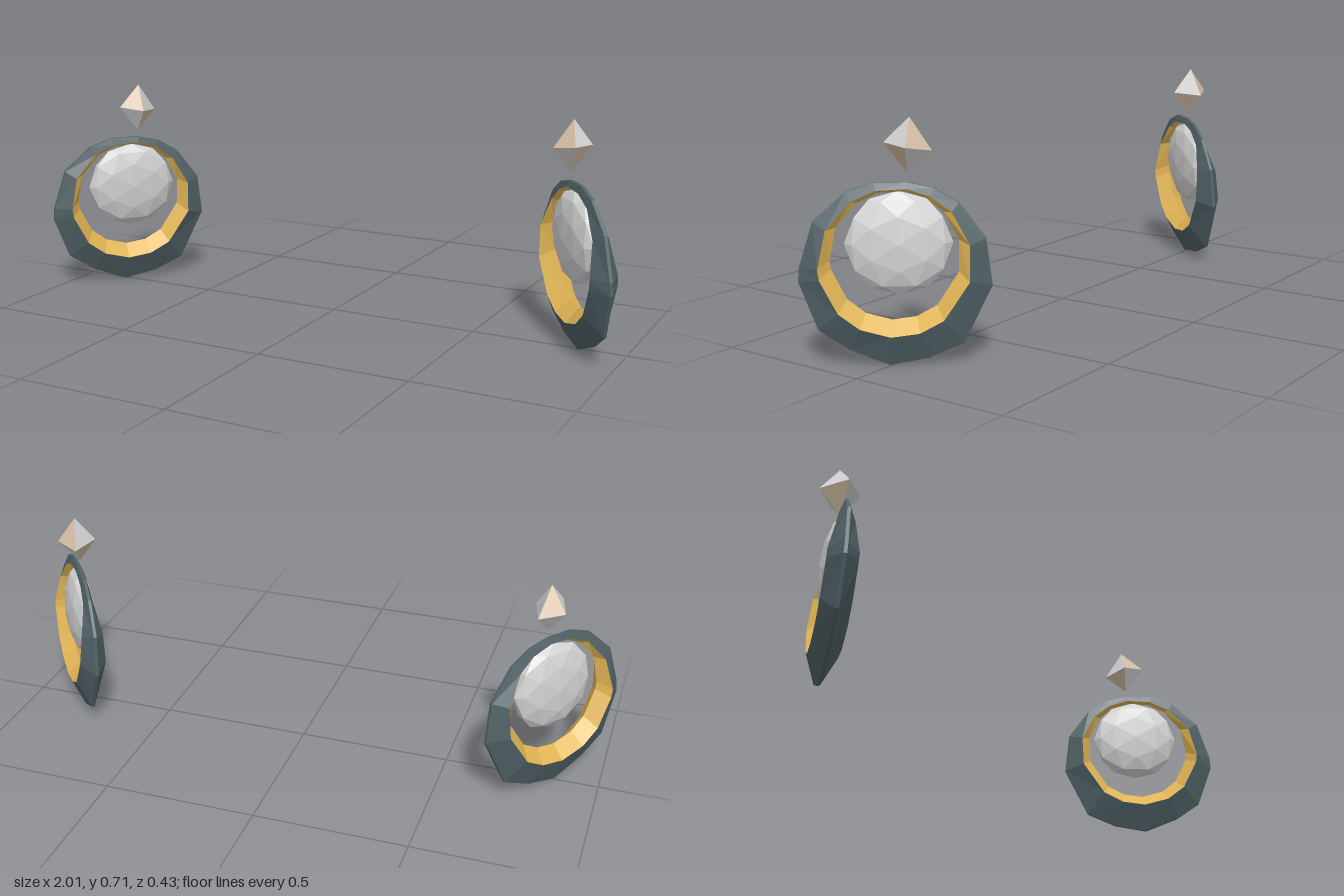
import * as THREE from 'three';

const mat = (name, color) => {
  const m = new THREE.MeshStandardMaterial({ color });
  m.name = name;
  m.flatShading = true;
  return m;
};

const named = (name, geometry, material) => {
  const mesh = new THREE.Mesh(geometry, material);
  mesh.name = name;
  return mesh;
};

// Faceted geometry from a list of triangles, each made of three [x, y, z] corners
function facets(triangles) {
  const g = new THREE.BufferGeometry();
  g.setAttribute('position', new THREE.Float32BufferAttribute(triangles.flat(2), 3));
  g.computeVertexNormals();
  return g;
}

// Outer outline of the hoop, counter-clockwise from the top
const OUTLINE = [
  [0.055, 0.523], [-0.035, 0.522], [-0.11, 0.505], [-0.18, 0.462], [-0.255, 0.36],
  [-0.272, 0.225], [-0.19, 0.06], [-0.09, 0.018], [0.022, 0], [0.135, 0.047],
  [0.22, 0.105], [0.272, 0.245], [0.269, 0.285], [0.228, 0.415], [0.135, 0.497],
];

// Cross-sections of the hoop: thin outer edge, wide rims, inner ridge
function hoopSections() {
  return OUTLINE.map(([x, y]) => {
    const a = Math.atan2(y - 0.3, x);
    const c = Math.cos(a), s = Math.sin(a);
    const top = THREE.MathUtils.smoothstep(y, 0.28, 0.52);
    const h = THREE.MathUtils.lerp(0.044, 0.013, top);
    const rim = [0.215 * c, 0.297 + 0.209 * s];
    return [
      [x, y, 0.005], [...rim, h],
      [0.184 * c, 0.314 + 0.184 * s, 0],
      [...rim, -h], [x, y, -0.005],
    ];
  });
}

// Surface strip between the given pairs of section corners
function strip(sections, pairs) {
  const tris = [];
  sections.forEach((a, i) => {
    const b = sections[(i + 1) % sections.length];
    for (const [p, q] of pairs) tris.push([a[p], b[p], b[q]], [a[p], b[q], a[q]]);
  });
  return facets(tris);
}

export function createModel() {
  const dark = mat('dark slate', 0x506166);
  const gold = mat('gold', 0xe0b454);
  const silver = mat('pale grey', 0xd2d2d2);
  const tan = mat('tan', 0xd2bca2);

  const left = new THREE.Group();
  left.name = 'leftEarring';

  // Hoop and stone lie in a plane turned about y and leaning slightly
  const pendant = new THREE.Group();
  pendant.name = 'pendant';
  pendant.position.set(0.83, 0, 0);
  pendant.rotation.set(0.05, -0.89, 0, 'YXZ');
  pendant.position.x += 0.26 * -Math.sin(-0.89) * 0.05;
  pendant.position.z -= 0.26 * Math.cos(-0.89) * 0.05;
  left.add(pendant);

  const sections = hoopSections();
  pendant.add(named('hoopOuter', strip(sections, [[0, 1], [3, 4], [4, 0]]), dark));
  pendant.add(named('hoopInner', strip(sections, [[1, 2], [2, 3]]), gold));

  const stone = named('stone', new THREE.IcosahedronGeometry(1, 1), silver);
  stone.scale.set(0.153, 0.148, 0.045);
  stone.position.set(-0.01, 0.35, 0);
  pendant.add(stone);

  // Stud: an eight-sided crystal with alternating colours
  const top = [0.795, 0.706, -0.032], bottom = [0.795, 0.545, -0.02];
  const girdle = [
    [0.825, 0.632, 0.04], [0.848, 0.627, -0.06], [0.77, 0.613, -0.09], [0.746, 0.62, 0.01],
  ];
  const sets = [[], []];
  girdle.forEach((a, i) => {
    const b = girdle[(i + 1) % 4];
    sets[i % 2].push([top, a, b]);
    sets[(i + 1) % 2].push([bottom, b, a]);
  });
  left.add(named('studPaleFacets', facets(sets[0]), silver));
  left.add(named('studTanFacets', facets(sets[1]), tan));

  // Mirrored partner
  const right = left.clone();
  right.name = 'rightEarring';
  right.scale.x = -1;

  const model = new THREE.Group();
  model.name = 'earrings';
  model.add(left, right);
  return model;
}
